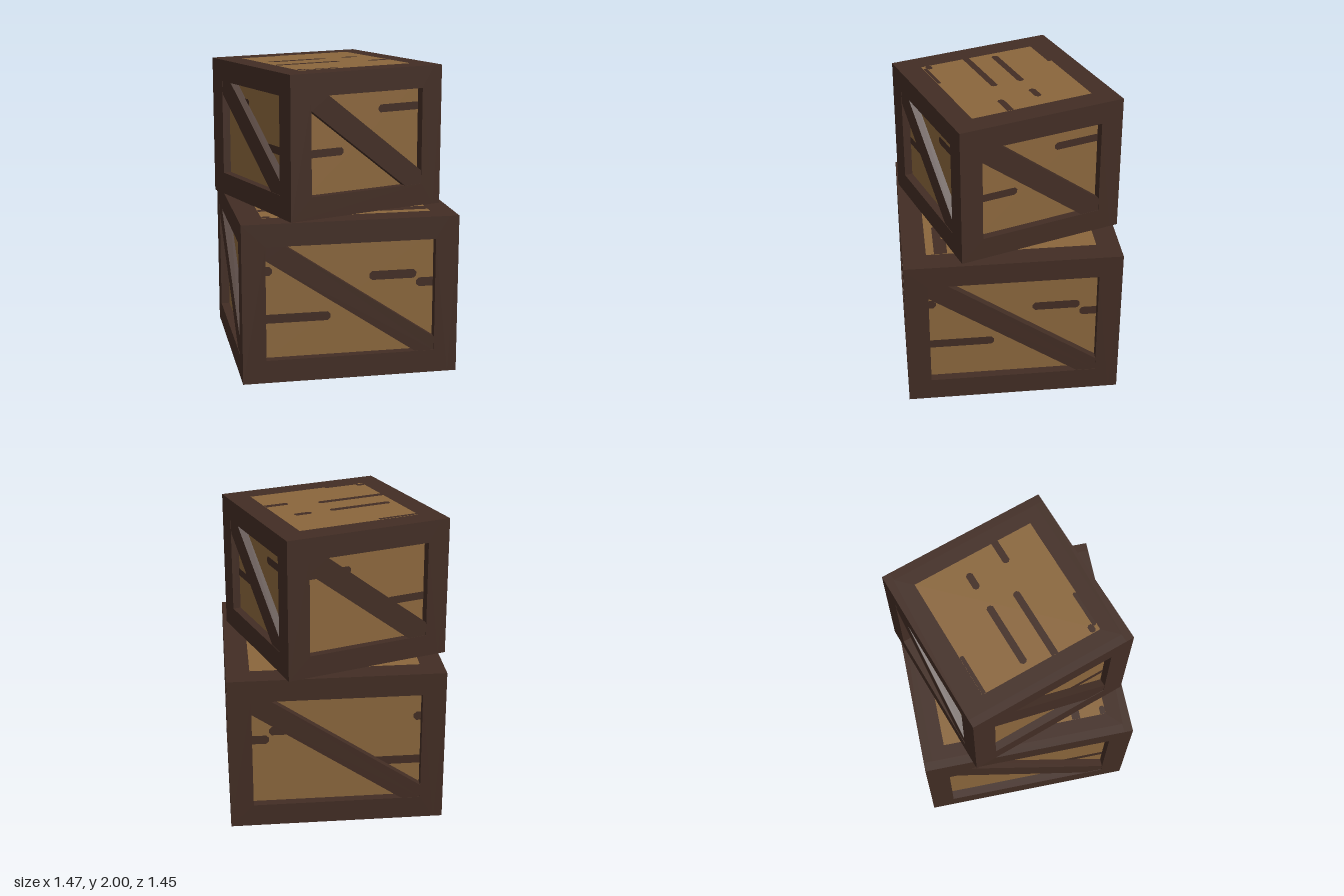
import * as THREE from 'three';

const wood = new THREE.MeshStandardMaterial({ color: 0x8a663c });
wood.name = 'plankWood';
const dark = new THREE.MeshStandardMaterial({ color: 0x422d24 });
dark.name = 'frameWood';

function add(parent, name, geometry, material, x = 0, y = 0, z = 0) {
  const mesh = new THREE.Mesh(geometry, material);
  mesh.name = name;
  mesh.position.set(x, y, z);
  parent.add(mesh);
  return mesh;
}

const polygon = (points) => new THREE.Shape(points.map(([x, y]) => new THREE.Vector2(x, y)));

// Flat grain mark with rounded ends; an end that reaches the panel border (+-limit) is cut square
function grainMark(u0, u1, v, r, limit) {
  const c0 = u0 <= -limit + 0.001 ? 0 : r * 0.6;
  const c1 = u1 >= limit - 0.001 ? 0 : r * 0.6;
  return new THREE.ShapeGeometry(polygon([
    [u0 + c0, v - r], [u1 - c1, v - r], [u1, v - r * 0.4], [u1, v + r * 0.4],
    [u1 - c1, v + r], [u0 + c0, v + r], [u0, v + r * 0.4], [u0, v - r * 0.4],
  ]));
}

function createCrate({ name, width, height, border, depth, sideMarks, topMarks, markRadius }) {
  const crate = new THREE.Group();
  crate.name = name;
  const half = width / 2;
  const open = half - border;
  const low = border - 0.002;
  const high = height - border + 0.004;
  const inner = width - 2 * depth;

  for (let k = 0; k < 4; k++) {
    const side = new THREE.Group();
    side.name = 'side' + (k + 1);
    side.rotation.y = k * Math.PI / 2;
    crate.add(side);
    const flip = k < 2 ? 1 : -1;

    // Border frame, pinwheeled so that the corners meet without overlap
    const ring = polygon([[-half, 0], [half - depth, 0], [half - depth, height], [-half, height]]);
    ring.holes.push(new THREE.Path([[-open, low], [-open, high], [open, high], [open, low]]
      .map(([x, y]) => new THREE.Vector2(x, y))));
    add(side, 'frame', new THREE.ExtrudeGeometry(ring, { depth, bevelEnabled: false }), dark, 0, 0, half - depth);

    // Recessed plank panel and its grain
    add(side, 'panel', new THREE.PlaneGeometry(inner, height - 0.1), wood, 0, height / 2 + 0.02, half - depth + 0.001);
    for (const [a, b, v] of sideMarks) {
      const [u0, u1] = flip > 0 ? [a, b] : [-b, -a];
      add(side, 'grain', grainMark(u0, u1, v, markRadius, open), dark, 0, 0, half - depth + 0.004);
    }

    // Diagonal brace
    const brace = polygon([
      [-open, high - 0.09], [open - 0.128, low], [open, low],
      [open, low + 0.09], [-open + 0.128, high], [-open, high],
    ]);
    add(side, 'brace', new THREE.ExtrudeGeometry(brace, { depth: depth - 0.003, bevelEnabled: false }), dark,
      0, 0, half - depth);

    // Inner lining of the hollow under the crate
    const lining = add(side, 'lining', new THREE.PlaneGeometry(inner, low), wood, 0, low / 2, half - depth - 0.002);
    lining.rotation.y = Math.PI;
    for (const [a, b] of [[-0.41, 0], [0.17, 0.27]]) {
      const mark = add(side, 'liningGrain', grainMark(flip > 0 ? -b : a, flip > 0 ? -a : b, 0.07, 0.028, half), dark,
        0, 0, half - depth - 0.005);
      mark.rotation.y = Math.PI;
    }
  }

  // Raised floor and lid
  add(crate, 'floor', new THREE.BoxGeometry(inner, 0.02, inner), dark, 0, low + 0.01, 0);
  add(crate, 'lid', new THREE.BoxGeometry(inner, 0.04, inner), dark, 0, height - 0.02, 0);
  const top = add(crate, 'lidPanel', new THREE.PlaneGeometry(2 * open, 2 * open), wood, 0, height + 0.002, 0);
  top.rotation.x = -Math.PI / 2;
  for (const [u0, u1, z, r] of topMarks) {
    const mark = add(crate, 'lidGrain', grainMark(u0, u1, -z, r, open), dark, 0, height + 0.004, 0);
    mark.rotation.x = -Math.PI / 2;
  }
  return crate;
}

export function createModel() {
  const model = new THREE.Group();
  model.name = 'stackedCrates';

  const lower = createCrate({
    name: 'lowerCrate', width: 1.425, height: 1.06, border: 0.154, depth: 0.06, markRadius: 0.03,
    sideMarks: [[-0.558, -0.51, 0.735], [0.13, 0.445, 0.67], [0.445, 0.558, 0.61], [-0.558, -0.128, 0.415]],
    topMarks: [[-0.558, -0.49, 0.355, 0.028], [0.22, 0.558, 0.478, 0.028], [0.38, 0.558, 0.44, 0.02],
      [-0.558, -0.5, 0.54, 0.018]],
  });
  lower.position.set(0.0225, 0, 0.0125);

  const upper = createCrate({
    name: 'upperCrate', width: 1.137, height: 0.936, border: 0.15, depth: 0.055, markRadius: 0.026,
    sideMarks: [[0.11, 0.4185, 0.67], [-0.4185, -0.155, 0.415]],
    topMarks: [[-0.375, 0.06, -0.095, 0.023], [-0.4185, 0.06, 0.095, 0.023], [0.195, 0.315, -0.095, 0.023],
      [0.255, 0.4185, 0.155, 0.023], [-0.4185, -0.14, -0.405, 0.013], [-0.38, -0.13, 0.405, 0.013],
      [-0.415, -0.36, 0.375, 0.02]],
  });
  upper.position.set(-0.015, 1.06, -0.007);
  upper.rotation.y = 0.331;

  model.add(lower, upper);
  return model;
}
